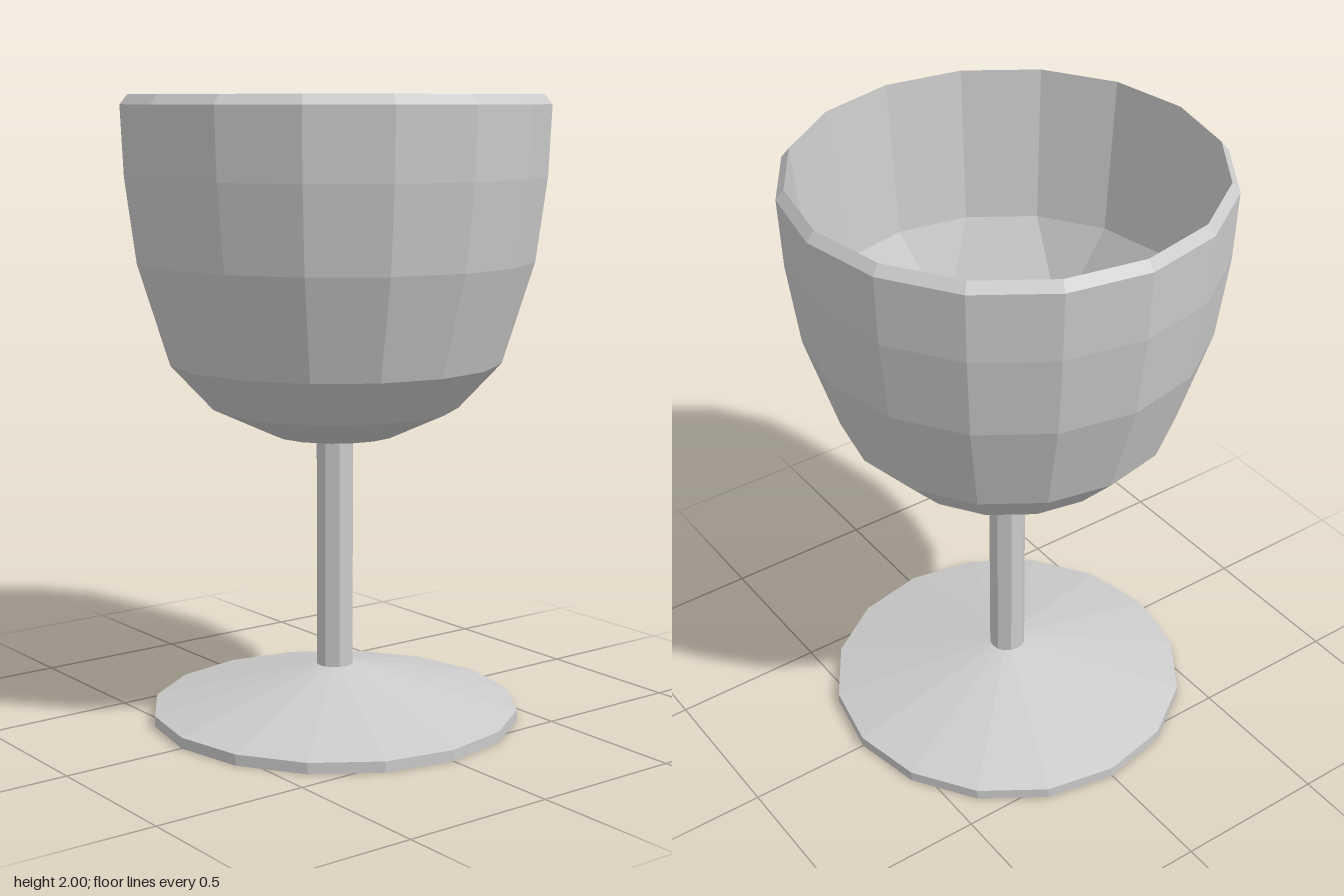
import * as THREE from 'three';

const SIDES = 16;
const material = new THREE.MeshStandardMaterial({ color: 0xcccccc, flatShading: true, side: THREE.DoubleSide });

function addMesh(group, name, geometry) {
  const mesh = new THREE.Mesh(geometry, material);
  mesh.name = name;
  group.add(mesh);
}

function lathe(profile, sides, phiStart = 0) {
  return new THREE.LatheGeometry(profile.map(([r, y]) => new THREE.Vector2(r, y)), sides, phiStart);
}

// Ring of points, turning from +x towards +z
function ring(radius, y, count, start = 0) {
  return Array.from({ length: count }, (_, i) => {
    const a = start + (i / count) * Math.PI * 2;
    return new THREE.Vector3(radius * Math.cos(a), y, radius * Math.sin(a));
  });
}

// Inside of the bowl: sixteen-sided wall narrowing to an eight-sided floor
function bowlInterior() {
  const turn = Math.PI / SIDES;
  const rim = ring(0.65, 2.0, SIDES);
  const wall = ring(0.6, 1.5, SIDES);
  const lower = ring(0.485, 1.19, 8, turn);
  const floor = ring(0.34, 1.04, 8, turn);
  const centre = new THREE.Vector3(0, 0.96, 0);
  const points = [];
  const tri = (a, b, c) => points.push(a, b, c);
  const quad = (l1, l2, u2, u1) => { tri(l1, l2, u2); tri(l1, u2, u1); };

  for (let i = 0; i < SIDES; i++) {
    const n = (i + 1) % SIDES;
    quad(wall[i], wall[n], rim[n], rim[i]);
  }
  for (let j = 0; j < 8; j++) {
    const n = (j + 1) % 8;
    // Step from sixteen sides to eight: a triangle, then a quad
    tri(lower[j], wall[2 * j + 1], wall[2 * j]);
    quad(lower[j], lower[n], wall[(2 * j + 2) % SIDES], wall[2 * j + 1]);
    quad(floor[j], floor[n], lower[n], lower[j]);
    tri(centre, floor[n], floor[j]);
  }
  const geometry = new THREE.BufferGeometry().setFromPoints(points);
  geometry.computeVertexNormals();
  return geometry;
}

export function createModel() {
  const goblet = new THREE.Group();
  goblet.name = 'goblet';

  // Foot: shallow hollow cone with a thin upright edge
  addMesh(goblet, 'foot', lathe([[0.06, 0.145], [0.595, 0], [0.595, 0.035], [0.06, 0.17]], SIDES));

  // Stem: open octagonal tube
  addMesh(goblet, 'stem', lathe([[0.06, 0.145], [0.06, 0.905]], 8, Math.PI / 8));

  // Bowl: outer wall ending in a bevelled rim
  addMesh(goblet, 'bowlOutside', lathe([
    [0, 0.905], [0.06, 0.905], [0.2, 0.93], [0.395, 1.02], [0.53, 1.165],
    [0.63, 1.485], [0.665, 1.75], [0.675, 1.97], [0.65, 2.0],
  ], SIDES));
  addMesh(goblet, 'bowlInside', bowlInterior());

  return goblet;
}
